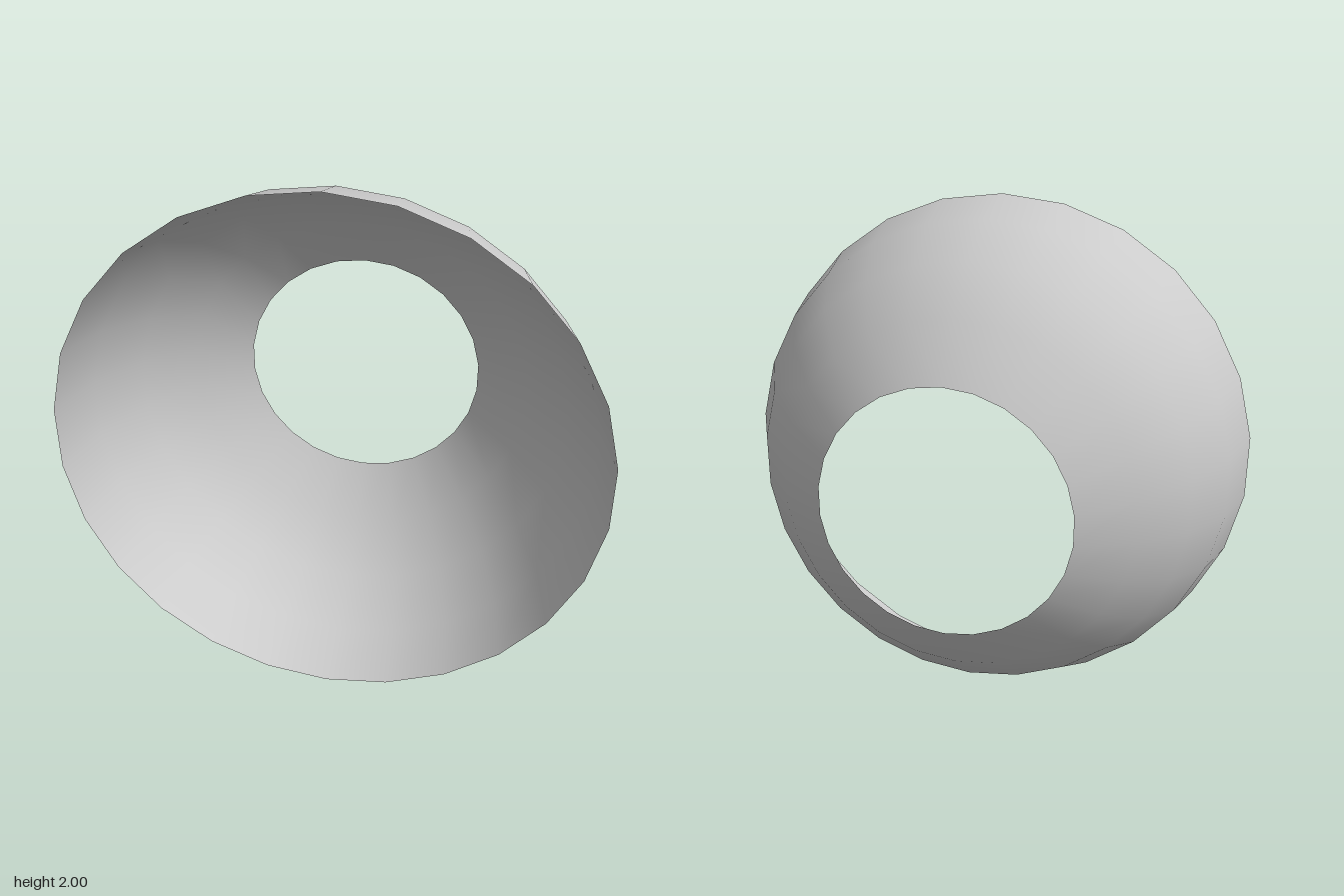
import * as THREE from 'three';

export function createModel() {
  const group = new THREE.Group();
  const material = new THREE.MeshStandardMaterial({ color: 0xcccccc, side: THREE.DoubleSide });

  // Spherical band profile: five rings, each one 26-sided step apart
  const sides = 26;
  const step = (Math.PI * 2) / sides;
  const radius = 1 / Math.cos(step / 2);
  const angles = [0.5, 1.5, 2.5, 3.5, 4.5].map((n) => n * step);
  const middle = (radius * (Math.sin(angles[0]) + Math.sin(angles[4]))) / 2;
  const profile = angles.map(
    (a) => new THREE.Vector2(radius * Math.cos(a), radius * Math.sin(a) - middle)
  );

  // Open bowl, wide rim facing the front and round hole at the back
  const geometry = new THREE.LatheGeometry(profile, sides);
  geometry.rotateX(-Math.PI / 2);
  geometry.translate(0, 1, 0);
  const bowl = new THREE.Mesh(geometry, material);
  bowl.name = 'openBowl';
  group.add(bowl);

  return group;
}
